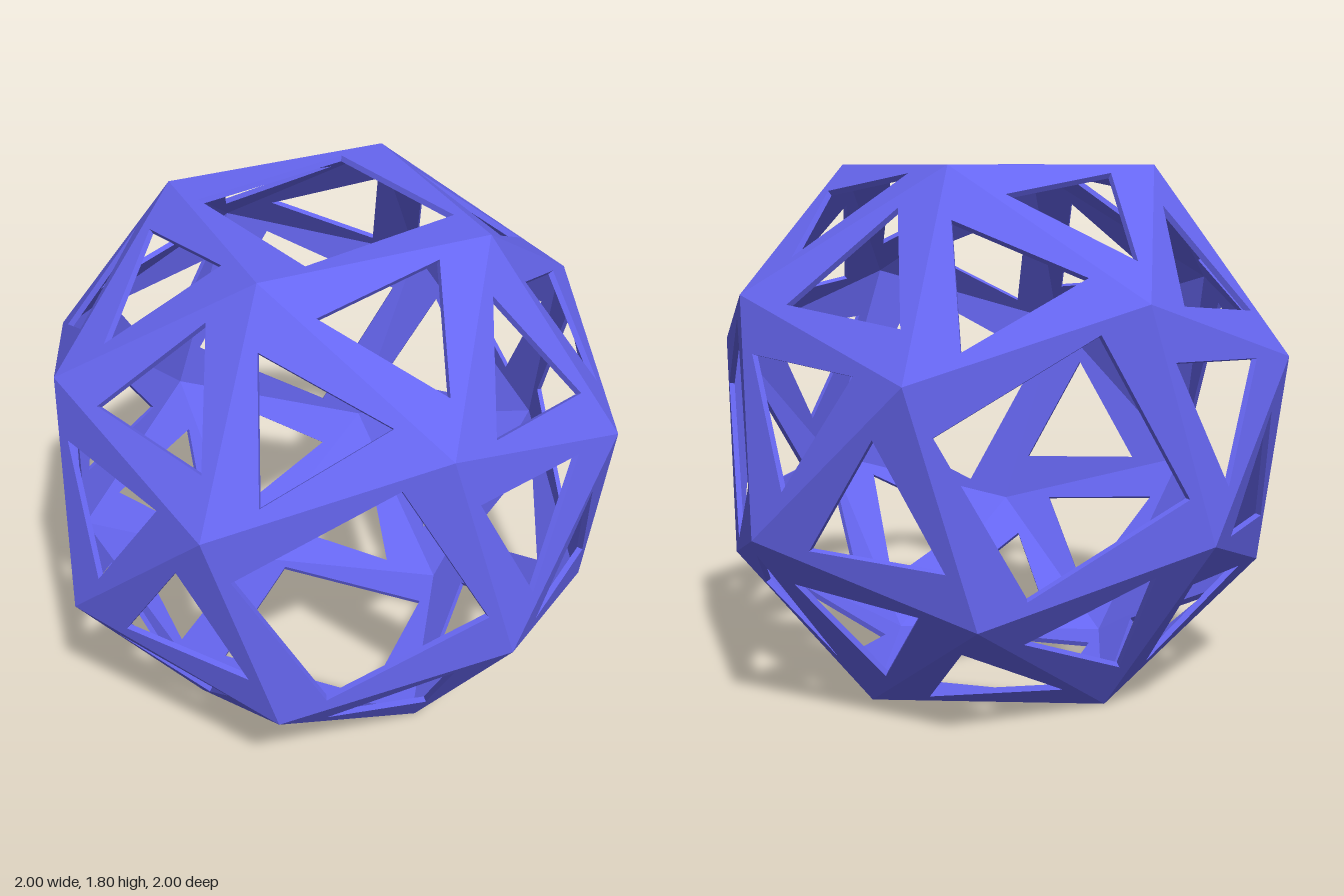
import * as THREE from 'three';

const T = 1.8392868;                   // tribonacci constant of the snub cube
const SCALE = 0.4884;
const TWIST = THREE.MathUtils.degToRad(13);  // turn of every strut about its edge
const INNER = 0.98;                    // inner skin relative to the outer one

// 24 corners of a snub cube
function snubCubeCorners() {
  const corners = [];
  const [a, b, c] = [1, T, 1 / T];
  const even = [[a, b, c], [b, c, a], [c, a, b]];
  const odd = [[b, a, c], [a, c, b], [c, b, a]];
  for (const sx of [1, -1]) for (const sy of [1, -1]) for (const sz of [1, -1]) {
    for (const p of sx * sy * sz > 0 ? even : odd) {
      corners.push(new THREE.Vector3(p[0] * sx, p[1] * sy, p[2] * sz).multiplyScalar(SCALE));
    }
  }
  return corners;
}

// Sort a face's corners counter-clockwise as seen from outside
function sortFace(points) {
  const n = points.reduce((s, p) => s.add(p), new THREE.Vector3()).normalize();
  const u = points[0].clone().addScaledVector(n, -points[0].dot(n)).normalize();
  const w = n.clone().cross(u);
  const angle = (p) => Math.atan2(p.dot(w), p.dot(u));
  return { n, points: [...points].sort((p, q) => angle(p) - angle(q)) };
}

function snubCubeFaces() {
  const v = snubCubeCorners();
  const faces = [];
  // six squares, one per axis direction
  for (const axis of ['x', 'y', 'z']) for (const s of [1, -1]) {
    faces.push(sortFace(v.filter((p) => p[axis] * s > 0.99 * T * SCALE)));
  }
  // thirty-two triangles: every three mutually adjacent corners
  const edge = faces[0].points[0].distanceTo(faces[0].points[1]);
  const near = (p, q) => Math.abs(p.distanceTo(q) - edge) < 0.01;
  for (let i = 0; i < 24; i++) for (let j = i + 1; j < 24; j++) for (let k = j + 1; k < 24; k++) {
    if (near(v[i], v[j]) && near(v[j], v[k]) && near(v[i], v[k])) faces.push(sortFace([v[i], v[j], v[k]]));
  }
  return faces;
}

// A face with a pinwheel hole: one wedge per edge, on both skins, plus the hole walls
function pinwheelFrame({ n, points }) {
  const count = points.length;
  const next = (i) => (i + 1) % count;
  const interior = Math.PI * (1 - 2 / count);
  const hole = points.map((p, i) => {
    const e1 = points[next(i)].clone().sub(p);
    const e2 = n.clone().cross(e1);
    const reach = Math.sin(TWIST) / Math.sin(interior);
    return p.clone().addScaledVector(e1, reach * Math.cos(TWIST)).addScaledVector(e2, reach * Math.sin(TWIST));
  });
  const inner = (p) => p.clone().multiplyScalar(INNER);
  const tris = [];
  for (let i = 0; i < count; i++) {
    const j = next(i);
    const [a, b, c, d] = [points[i], points[j], hole[j], hole[i]];
    tris.push(a, b, c);
    tris.push(inner(a), inner(c), inner(b));
    tris.push(d, c, inner(c), d, inner(c), inner(d));
  }
  const geometry = new THREE.BufferGeometry().setFromPoints(tris);
  geometry.computeVertexNormals();
  return geometry;
}

export function createModel() {
  const material = new THREE.MeshStandardMaterial({ color: 0x6666f0, flatShading: true, side: THREE.DoubleSide });
  const model = new THREE.Group();
  model.name = 'twistedSnubCubeFrame';

  for (const face of snubCubeFaces()) {
    const mesh = new THREE.Mesh(pinwheelFrame(face), material);
    mesh.name = face.points.length === 4 ? 'squareFrame' : 'triangleFrame';
    model.add(mesh);
  }

  // Stand on a square face, its sides in line with the axes
  model.rotation.y = Math.PI / 4 - Math.atan(1 / T);
  model.position.y = T * SCALE;
  const root = new THREE.Group();
  root.name = 'latticeBall';
  root.add(model);
  return root;
}
